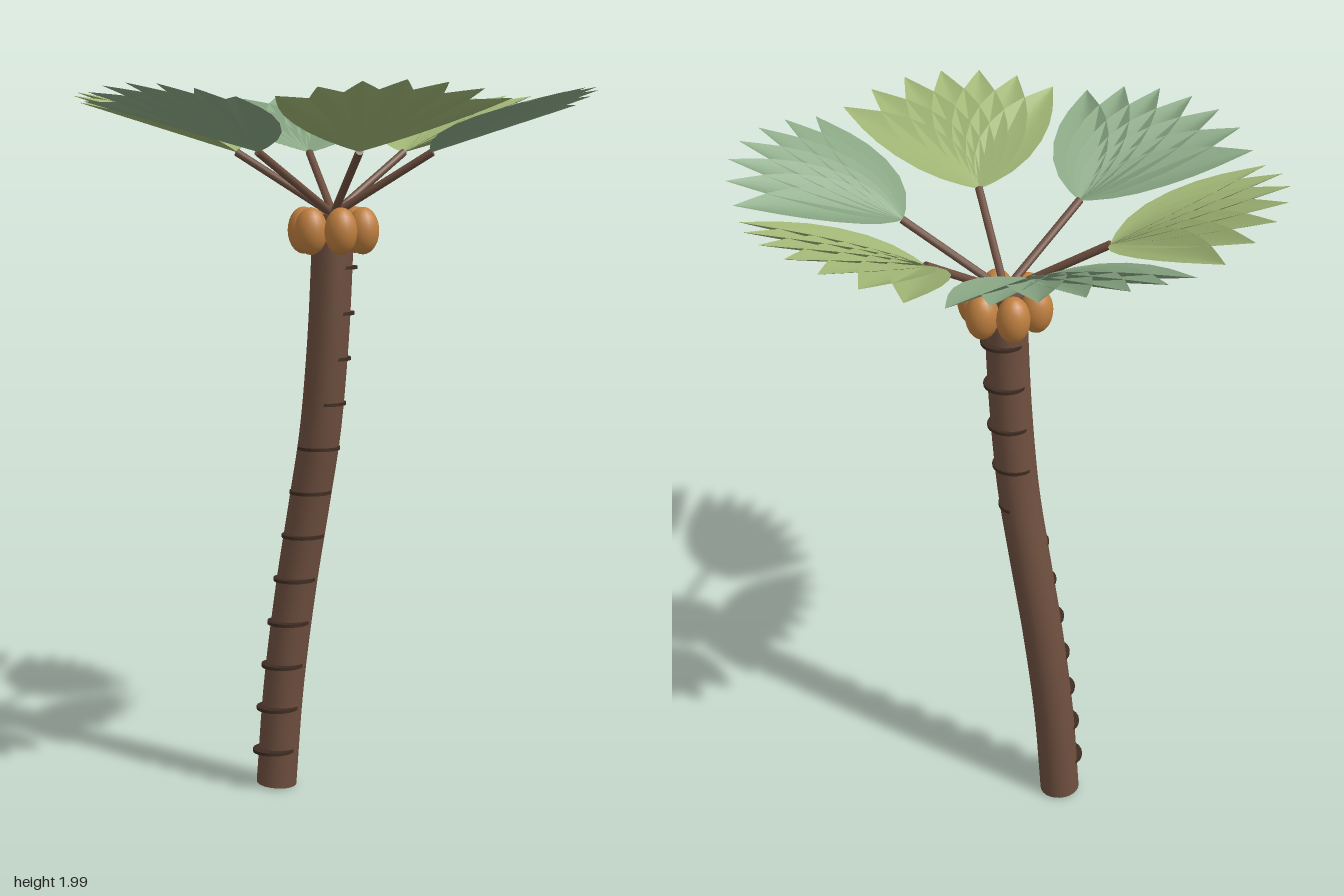
import * as THREE from 'three';

const mat = (color, extra = {}) => new THREE.MeshStandardMaterial({ color, ...extra });

function addMesh(parent, name, geometry, material) {
  const mesh = new THREE.Mesh(geometry, material);
  mesh.name = name;
  parent.add(mesh);
  return mesh;
}

// One pointed leaflet along +x, cupped so that its edges rise above the midrib
function leafletGeometry(length) {
  const outline = [[0, 0.004], [0.07, 0.03], [0.18, 0.058], [0.32, 0.075], [0.48, 0.077],
    [0.64, 0.066], [0.78, 0.046], [0.9, 0.022], [1, 0.001]];
  const cols = 6;
  const positions = [], index = [];
  outline.forEach(([t, half], i) => {
    for (let j = 0; j <= cols; j++) {
      const s = (j / cols) * 2 - 1;
      positions.push(t * length, half * 0.36 * Math.pow(Math.abs(s), 1.3), s * half);
      if (i && j) {
        const d = i * (cols + 1) + j, c = d - 1, b = d - cols - 1, a = b - 1;
        index.push(a, b, c, b, d, c);
      }
    }
  });
  const geometry = new THREE.BufferGeometry();
  geometry.setAttribute('position', new THREE.Float32BufferAttribute(positions, 3));
  geometry.setIndex(index);
  geometry.computeVertexNormals();
  return geometry;
}

export function createModel() {
  const palm = new THREE.Group();
  palm.name = 'palmTree';
  const bark = mat(0x6e4f3f);
  const scar = mat(0x3e2c22);
  const husk = mat(0xc08040);
  const greens = [0x8aa885, 0x9fb474].map(c => mat(c, { side: THREE.DoubleSide }));

  // Curved trunk with end caps
  const radius = 0.058;
  const path = new THREE.CatmullRomCurve3([
    [-0.18, 0.01, -0.027], [-0.157, 0.3, -0.027], [-0.118, 0.6, -0.026], [-0.075, 0.85, -0.018],
    [-0.041, 1.05, -0.008], [-0.016, 1.3, 0], [-0.004, 1.52, 0.002], [0, 1.66, 0],
  ].map(p => new THREE.Vector3(...p)));
  const trunk = new THREE.Group();
  trunk.name = 'trunk';
  palm.add(trunk);
  addMesh(trunk, 'trunkStem', new THREE.TubeGeometry(path, 48, radius, 24), bark);
  for (const end of [0, 1]) {
    const cap = addMesh(trunk, 'trunkCap', new THREE.CircleGeometry(radius, 24), bark);
    const out = path.getTangent(end).multiplyScalar(end ? 1 : -1);
    cap.position.copy(path.getPoint(end));
    cap.quaternion.setFromUnitVectors(new THREE.Vector3(0, 0, 1), out);
  }

  // Thin leaf-scar rings, slightly off the trunk's axis
  const ringGeometry = new THREE.CylinderGeometry(0.06, 0.06, 0.009, 24);
  for (let i = 0; i < 12; i++) {
    const y = 0.117 + i * 0.127;
    const ring = addMesh(trunk, 'trunkRing', ringGeometry, scar);
    const centre = path.getPoints(200).find(p => p.y >= y);
    ring.position.set(centre.x + 0.008 * (i / 5.5 - 1), y, -0.001 * i);
  }

  // Cluster of coconuts and the crown of fan leaves
  const nutGeometry = new THREE.SphereGeometry(0.045, 20, 14);
  const stalkGeometry = new THREE.CylinderGeometry(0.011, 0.011, 1, 10);
  const leaflet = leafletGeometry(0.473);
  const stalkStart = new THREE.Vector3(0, 1.66, 0);
  const stalkEnd = new THREE.Vector3(0.28, 1.83, 0);
  const along = stalkEnd.clone().sub(stalkStart);
  for (let i = 0; i < 6; i++) {
    const angle = i * Math.PI / 3;
    const nut = addMesh(palm, 'coconut', nutGeometry, husk);
    nut.position.set(0.085 * Math.cos(angle), 1.616, 0.085 * Math.sin(angle));
    nut.scale.y = 1.45;

    const frond = new THREE.Group();
    frond.name = 'frond';
    frond.rotation.y = -angle;
    palm.add(frond);

    const stalk = addMesh(frond, 'leafStalk', stalkGeometry, bark);
    stalk.position.copy(stalkStart).addScaledVector(along, 0.5);
    stalk.quaternion.setFromUnitVectors(new THREE.Vector3(0, 1, 0), along.clone().normalize());
    stalk.scale.y = along.length();

    const fan = new THREE.Group();
    fan.name = 'fanLeaf';
    fan.position.copy(stalkEnd);
    fan.rotation.z = 0.365;
    frond.add(fan);
    for (let k = -3; k <= 3; k++) {
      addMesh(fan, 'leaflet', leaflet, greens[i % 2]).rotation.y = k * 0.23;
    }
  }
  return palm;
}
